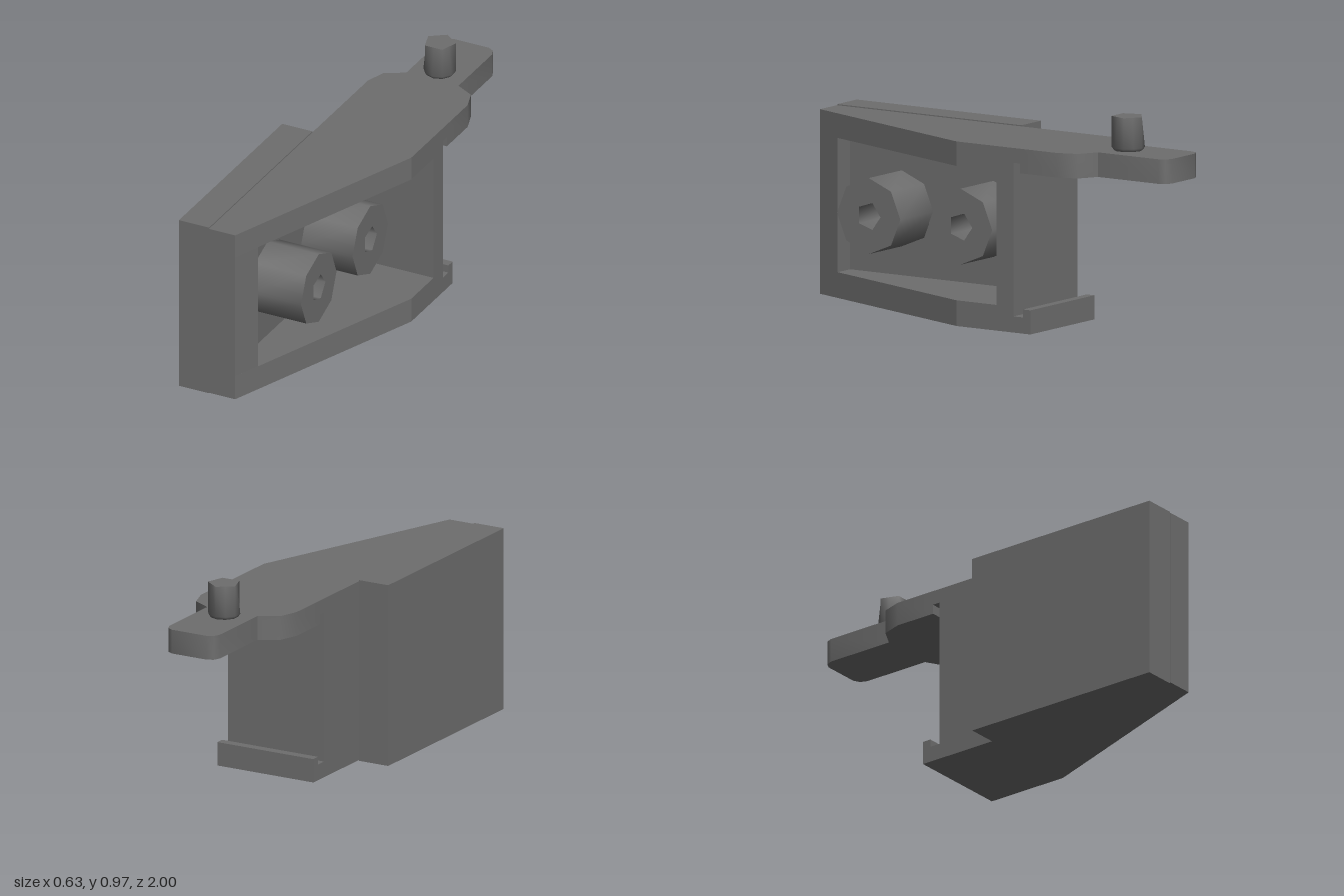
import * as THREE from 'three';
import { toCreasedNormals } from 'three/addons/utils/BufferGeometryUtils.js';

const material = new THREE.MeshStandardMaterial({ color: 0x6e6e6e });

export function createModel() {
  const model = new THREE.Group();

  function add(name, geometry) {
    const mesh = new THREE.Mesh(geometry, material);
    mesh.name = name;
    model.add(mesh);
    return mesh;
  }

  // Plan outline of [x, z] points raised from y0 to y1
  function layer(name, outline, y0, y1, crease = 0) {
    const shape = new THREE.Shape(outline.map(([x, z]) => new THREE.Vector2(x, -z)));
    let geo = new THREE.ExtrudeGeometry(shape, { depth: y1 - y0, bevelEnabled: false });
    geo.rotateX(-Math.PI / 2).translate(0, y0, 0);
    if (crease) geo = toCreasedNormals(geo, crease);
    return add(name, geo);
  }

  function box(name, x0, x1, y0, y1, z0, z1) {
    const geo = new THREE.BoxGeometry(x1 - x0, y1 - y0, z1 - z0);
    add(name, geo.translate((x0 + x1) / 2, (y0 + y1) / 2, (z0 + z1) / 2));
  }

  // Regular polygon as points
  function ring(n, r, cx, cy) {
    return Array.from({ length: n }, (_, i) => {
      const a = (i / n) * Math.PI * 2;
      return new THREE.Vector2(cx + r * Math.cos(a), cy + r * Math.sin(a));
    });
  }

  const left = 0.315, right = -0.17, floorX = -0.09, frontX = -0.042;
  const slantX = (z) => frontX + (1 - z) * 0.368;
  // Wedge outline reaching back to the given z
  const wedge = (back) => [[right, 1], [frontX, 1], [left, 0.03], [left, back], [right, back]];

  // Mounting slab
  box('mountingSlab', -0.317, right, 0, 0.82, 0.025, 0.998);

  // Housing: base, pocket walls open to the left, and top
  layer('basePlate', wedge(-0.36), 0.004, 0.075);
  layer('pocketSill', wedge(-0.27), 0.075, 0.117);
  layer('pocketWalls', [
    [right, 1], [frontX, 1], [slantX(0.875), 0.875], [floorX, 0.875],
    [floorX, -0.18], [left, -0.18], [left, -0.27], [right, -0.27],
  ], 0.117, 0.707);
  layer('pocketHeader', wedge(-0.27), 0.707, 0.75);
  layer('topPlate', wedge(-0.305), 0.75, 0.815);

  // Upturned lip on the base
  box('baseLip', right, left, 0.075, 0.11, -0.36, -0.32);

  // Tongue running back from the top plate
  layer('tongue', [
    [left, -0.305], [left, -0.5], [0.285, -0.59], [0.2, -0.637],
    [0.2, -0.955], [0.188, -0.985], [0.16, -1],
    [-0.015, -1], [-0.043, -0.985], [-0.055, -0.955],
    [-0.055, -0.637], [-0.14, -0.59], [right, -0.5], [right, -0.305],
  ], 0.707, 0.815, 0.9);

  // Pin on the tongue: ten-sided foot running up into a five-sided top
  const profile = [[0, 0], [0.062, 0], [0.072, 0.014], [0.072, 0.15], [0, 0.15]];
  const points = profile.map(([r, y]) => new THREE.Vector2(r, y));
  const pinGeo = new THREE.LatheGeometry(points, 10, Math.PI);
  const pos = pinGeo.attributes.position;
  for (let i = 0; i < pos.count; i++) {
    const odd = Math.floor(i / points.length) % 2 === 1;
    if (odd && pos.getY(i) > 0.1) {
      const pull = Math.cos(Math.PI / 5);
      pos.setXYZ(i, pos.getX(i) * pull, pos.getY(i), pos.getZ(i) * pull);
    }
  }
  add('pin', toCreasedNormals(pinGeo, 1.3)).position.set(0.072, 0.815, -0.708);

  // Two eight-sided bosses with five-sided sockets
  for (const z of [0.602, 0.117]) {
    const shape = new THREE.Shape(ring(8, 0.167, -z, 0.411));
    shape.holes.push(new THREE.Path(ring(5, 0.062, -z, 0.411)));
    const geo = new THREE.ExtrudeGeometry(shape, { depth: 0.16 - floorX, bevelEnabled: false });
    geo.rotateY(Math.PI / 2).translate(floorX, 0, 0);
    add('boss', toCreasedNormals(geo, 1.3));
  }

  return model;
}
